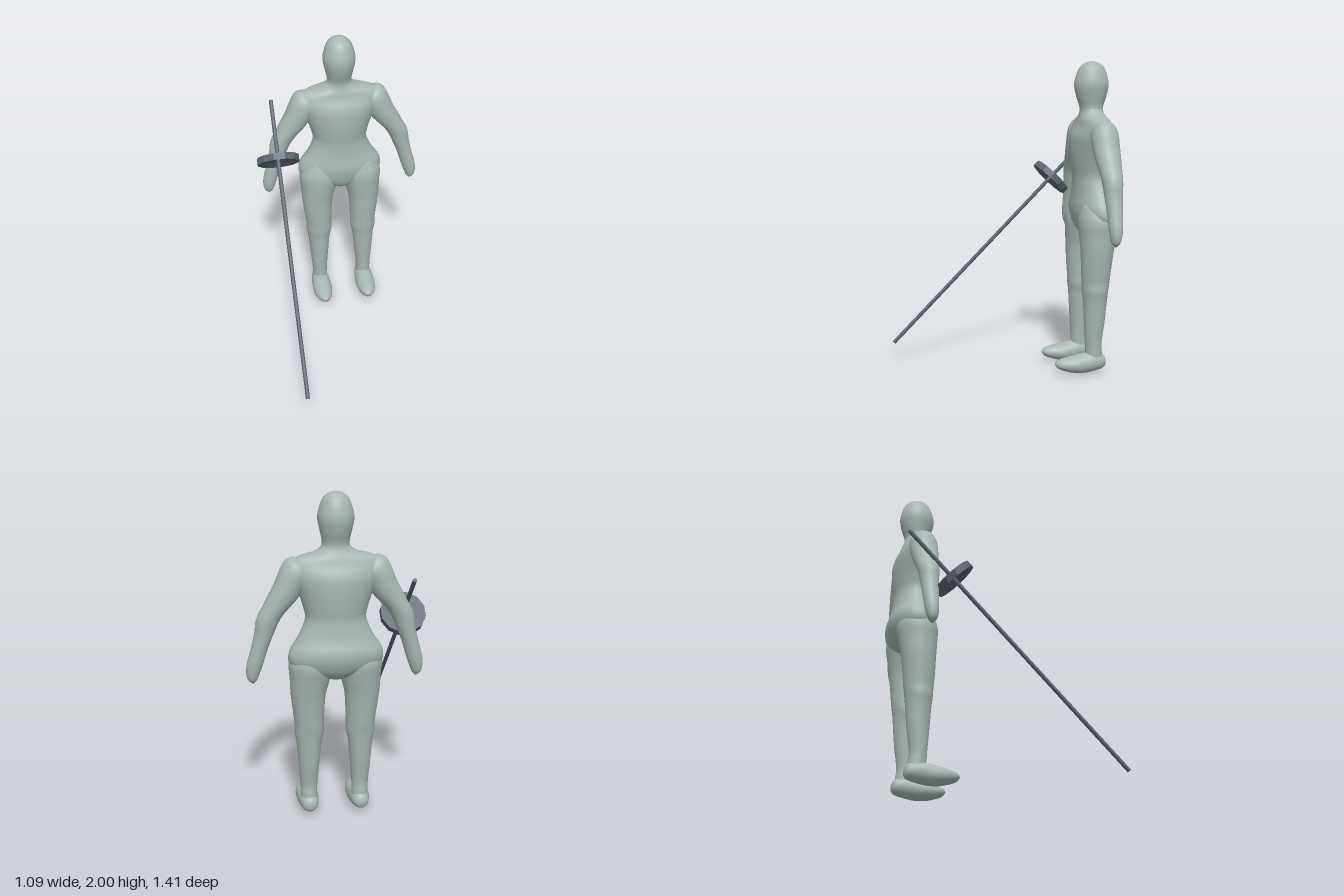
import * as THREE from 'three';

const CX = 0.017; // the figure stands slightly off the centre line
const SIDES = 32;

// Smooth skin through elliptical rings listed from top to bottom: [y, x, rx, z, rz]
function loft(rings, side = 1) {
  const spline = (f) => new THREE.CatmullRomCurve3(rings.map(f), false, 'catmullrom', 0.5);
  const centres = spline(([y, x, , z]) => new THREE.Vector3(x * side, y, z));
  const radii = spline(([y, , rx, , rz]) => new THREE.Vector3(rx, y, rz));
  const steps = (rings.length - 1) * 4;
  const pos = [], idx = [];
  for (let i = 0; i <= steps; i++) {
    const c = centres.getPoint(i / steps), r = radii.getPoint(i / steps);
    for (let j = 0; j < SIDES; j++) {
      const a = (j / SIDES) * Math.PI * 2;
      pos.push(c.x + r.x * Math.cos(a), c.y, c.z + r.z * Math.sin(a));
    }
  }
  const top = pos.length / 3, bottom = top + 1;
  for (const t of [0, 1]) pos.push(...centres.getPoint(t).toArray());
  for (let j = 0; j < SIDES; j++) {
    const k = (j + 1) % SIDES;
    for (let i = 0; i < steps; i++) {
      const a = i * SIDES + j, b = i * SIDES + k;
      idx.push(a, b, a + SIDES, b, b + SIDES, a + SIDES);
    }
    idx.push(top, k, j, bottom, steps * SIDES + j, steps * SIDES + k);
  }
  const g = new THREE.BufferGeometry();
  g.setAttribute('position', new THREE.Float32BufferAttribute(pos, 3));
  g.setIndex(idx);
  g.computeVertexNormals();
  return g;
}

const TORSO = [
  [2.0, 0, 0.006, -0.54, 0.006], [1.987, 0, 0.045, -0.54, 0.047], [1.95, 0, 0.08, -0.54, 0.085],
  [1.86, 0, 0.105, -0.538, 0.111], [1.78, 0, 0.093, -0.538, 0.098], [1.72, 0, 0.08, -0.538, 0.078],
  [1.685, 0, 0.086, -0.54, 0.075], [1.655, 0, 0.13, -0.543, 0.082], [1.63, 0, 0.225, -0.545, 0.09],
  [1.59, 0, 0.275, -0.546, 0.102], [1.52, 0, 0.258, -0.546, 0.13], [1.43, 0, 0.222, -0.545, 0.134],
  [1.34, 0, 0.192, -0.545, 0.128], [1.26, 0, 0.18, -0.546, 0.12], [1.16, 0, 0.22, -0.552, 0.126],
  [1.07, 0, 0.276, -0.56, 0.143], [0.99, 0, 0.27, -0.557, 0.13], [0.93, 0, 0.17, -0.55, 0.1],
  [0.89, 0, 0.04, -0.54, 0.05],
];
const ARM = [
  [1.63, 0.25, 0.012, -0.547, 0.015], [1.605, 0.243, 0.055, -0.547, 0.06], [1.55, 0.237, 0.09, -0.547, 0.086],
  [1.47, 0.268, 0.092, -0.547, 0.086], [1.4, 0.306, 0.092, -0.547, 0.08], [1.35, 0.34, 0.083, -0.547, 0.074],
  [1.3, 0.376, 0.075, -0.547, 0.068], [1.25, 0.4, 0.067, -0.547, 0.063], [1.19, 0.417, 0.058, -0.546, 0.057],
  [1.1, 0.445, 0.05, -0.545, 0.05], [1.0, 0.474, 0.048, -0.543, 0.044], [0.94, 0.487, 0.04, -0.541, 0.037],
  [0.9, 0.49, 0.027, -0.54, 0.025], [0.878, 0.488, 0.006, -0.54, 0.006],
];
const LEG = [
  [1.1, 0.13, 0.1, -0.545, 0.1], [1.0, 0.141, 0.135, -0.545, 0.126], [0.9, 0.15, 0.122, -0.54, 0.118],
  [0.8, 0.161, 0.106, -0.535, 0.106], [0.7, 0.16, 0.096, -0.53, 0.098], [0.6, 0.156, 0.088, -0.528, 0.09],
  [0.54, 0.156, 0.088, -0.525, 0.084], [0.47, 0.157, 0.075, -0.525, 0.077], [0.33, 0.158, 0.063, -0.522, 0.066],
  [0.2, 0.158, 0.052, -0.517, 0.053], [0.14, 0.158, 0.05, -0.52, 0.054], [0.07, 0.158, 0.05, -0.525, 0.055],
];
// Foot rings run from toe to heel: [z, x, half width, -y, half height]
const FOOT = [
  [-0.263, 0.155, 0.008, -0.072, 0.006], [-0.28, 0.156, 0.03, -0.07, 0.026], [-0.32, 0.157, 0.052, -0.067, 0.041],
  [-0.38, 0.158, 0.066, -0.065, 0.055], [-0.45, 0.158, 0.066, -0.069, 0.064], [-0.52, 0.158, 0.06, -0.078, 0.064],
  [-0.57, 0.158, 0.048, -0.076, 0.05], [-0.592, 0.158, 0.03, -0.072, 0.032], [-0.6, 0.158, 0.006, -0.071, 0.006],
];

export function createModel() {
  const model = new THREE.Group();
  model.name = 'figureWithLance';
  const skin = new THREE.MeshStandardMaterial({ color: 0xa9b8b4 });
  skin.name = 'paleGreyGreen';
  const steel = new THREE.MeshStandardMaterial({ color: 0x5c6570 });
  steel.name = 'slateGrey';
  const add = (parent, name, geometry, material) => {
    const m = new THREE.Mesh(geometry, material);
    m.name = name;
    parent.add(m);
    return m;
  };

  // Body
  const body = new THREE.Group();
  body.name = 'body';
  body.position.x = CX;
  model.add(body);
  add(body, 'headAndTorso', loft(TORSO), skin);
  for (const [side, label] of [[1, 'left'], [-1, 'right']]) {
    add(body, label + 'Arm', loft(ARM, side), skin);
    add(body, label + 'Leg', loft(LEG, side), skin);
    add(body, label + 'Foot', loft(FOOT, side).rotateX(Math.PI / 2), skin);
  }

  // Lance: its own y axis points down and forward to the tip
  const lance = new THREE.Group();
  lance.name = 'lance';
  lance.position.set(-0.415, 0.815, 0.005);
  lance.rotation.x = Math.PI * 0.75;
  model.add(lance);
  add(lance, 'shaft', new THREE.CylinderGeometry(0.013, 0.013, 1.95, 8), steel);

  // Hand guard: faceted disc with a shallow dished front
  const profile = [[0, -0.022], [0.139, -0.022], [0.139, 0.022], [0, -0.008]];
  const dish = new THREE.LatheGeometry(profile.map(([r, y]) => new THREE.Vector2(r, y)), 12)
    .rotateY(Math.PI / 12).toNonIndexed();
  dish.computeVertexNormals();
  add(lance, 'handGuard', dish, steel).position.y = -0.572;

  return model;
}
